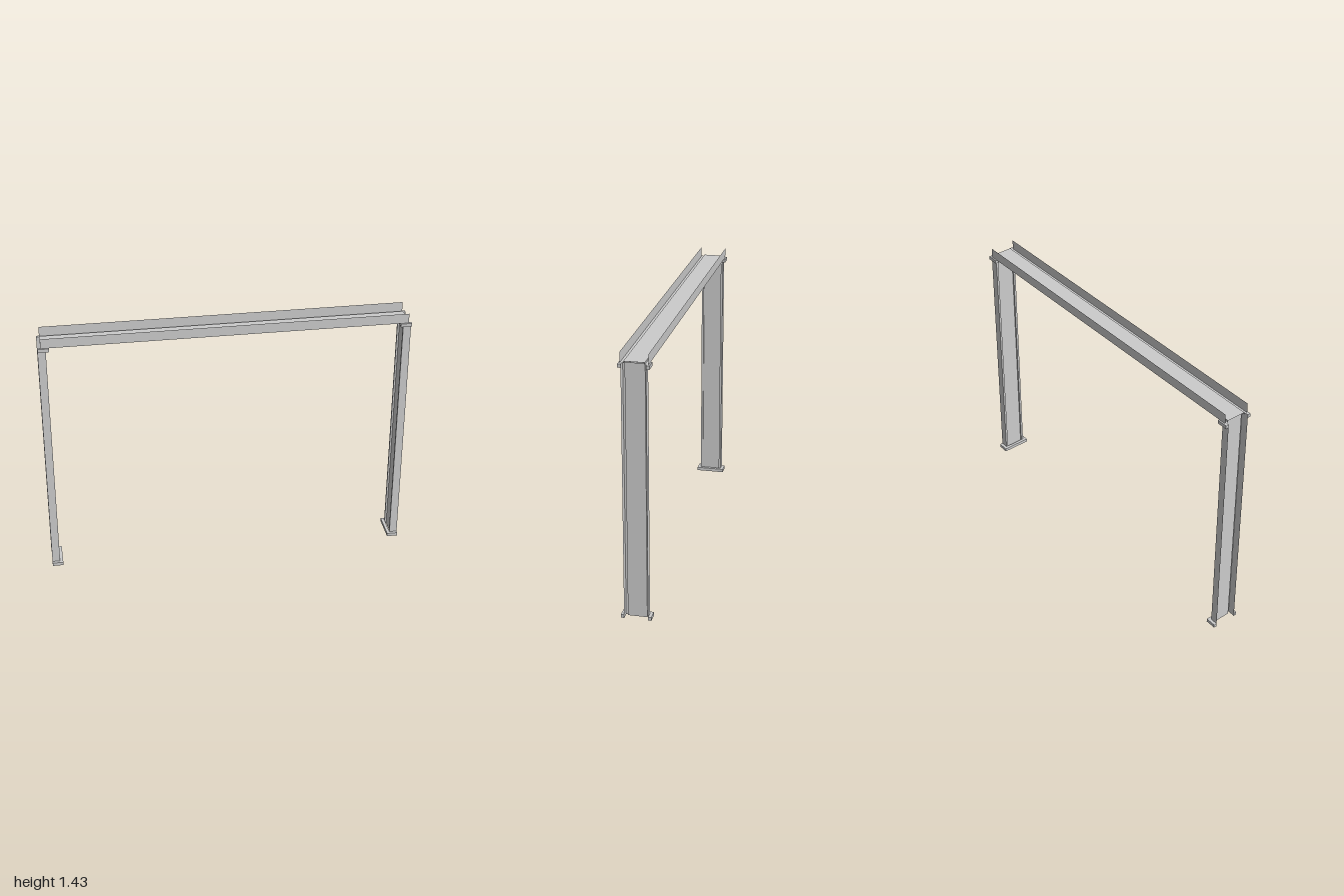
import * as THREE from 'three';

const steel = new THREE.MeshStandardMaterial({ color: 0xcccccc, flatShading: true, side: THREE.DoubleSide });

// Thin folded channel along y: floor near depth 0, open toward +x, walls at z = +-half
function channel(half, floorHalf, depth, step, length) {
  const profile = [
    [depth, -half], [0, -half], [0, -floorHalf], [step, -floorHalf],
    [step, floorHalf], [0, floorHalf], [0, half], [depth, half],
  ];
  const pos = [];
  for (let i = 0; i < profile.length - 1; i++) {
    const [ax, az] = profile[i], [bx, bz] = profile[i + 1];
    pos.push(ax, 0, az, ax, length, az, bx, length, bz);
    pos.push(ax, 0, az, bx, length, bz, bx, 0, bz);
  }
  const g = new THREE.BufferGeometry();
  g.setAttribute('position', new THREE.Float32BufferAttribute(pos, 3));
  g.computeVertexNormals();
  return g;
}

// C-shaped plate that wraps the post and stays open on its outer side
function collar(height) {
  const outline = [
    [1, 0.08], [0.94, 0.08], [0.94, -0.08], [1, -0.08],
    [1, -0.063], [0.957, -0.063], [0.957, 0.063], [1, 0.063],
  ].map(([x, z]) => new THREE.Vector2(x, z));
  const g = new THREE.ExtrudeGeometry(new THREE.Shape(outline), { depth: height, bevelEnabled: false });
  return g.rotateX(-Math.PI / 2);
}

export function createModel() {
  const model = new THREE.Group();
  const add = (parent, name, geometry, x = 0, y = 0) => {
    const mesh = new THREE.Mesh(geometry, steel);
    mesh.name = name;
    mesh.position.set(x, y, 0);
    parent.add(mesh);
    return mesh;
  };

  // Two posts, each with a foot and a cap; the second is turned half round
  for (const [side, angle] of [['left', 0], ['right', Math.PI]]) {
    const leg = new THREE.Group();
    leg.name = side + 'Leg';
    add(leg, side + 'Post', channel(0.063, 0.051, 0.043, 0.01, 1.378), 0.957);
    add(leg, side + 'Foot', collar(0.019));
    add(leg, side + 'Cap', collar(0.019), 0, 1.359);
    leg.rotation.y = angle;
    model.add(leg);
  }

  // Cross beam: the same folded channel laid flat, open upward
  const beam = channel(0.072, 0.053, 0.055, 0.01, 1.968);
  beam.translate(0, -0.984, 0).rotateZ(Math.PI / 2);
  add(model, 'crossBeam', beam, 0, 1.378);

  return model;
}
